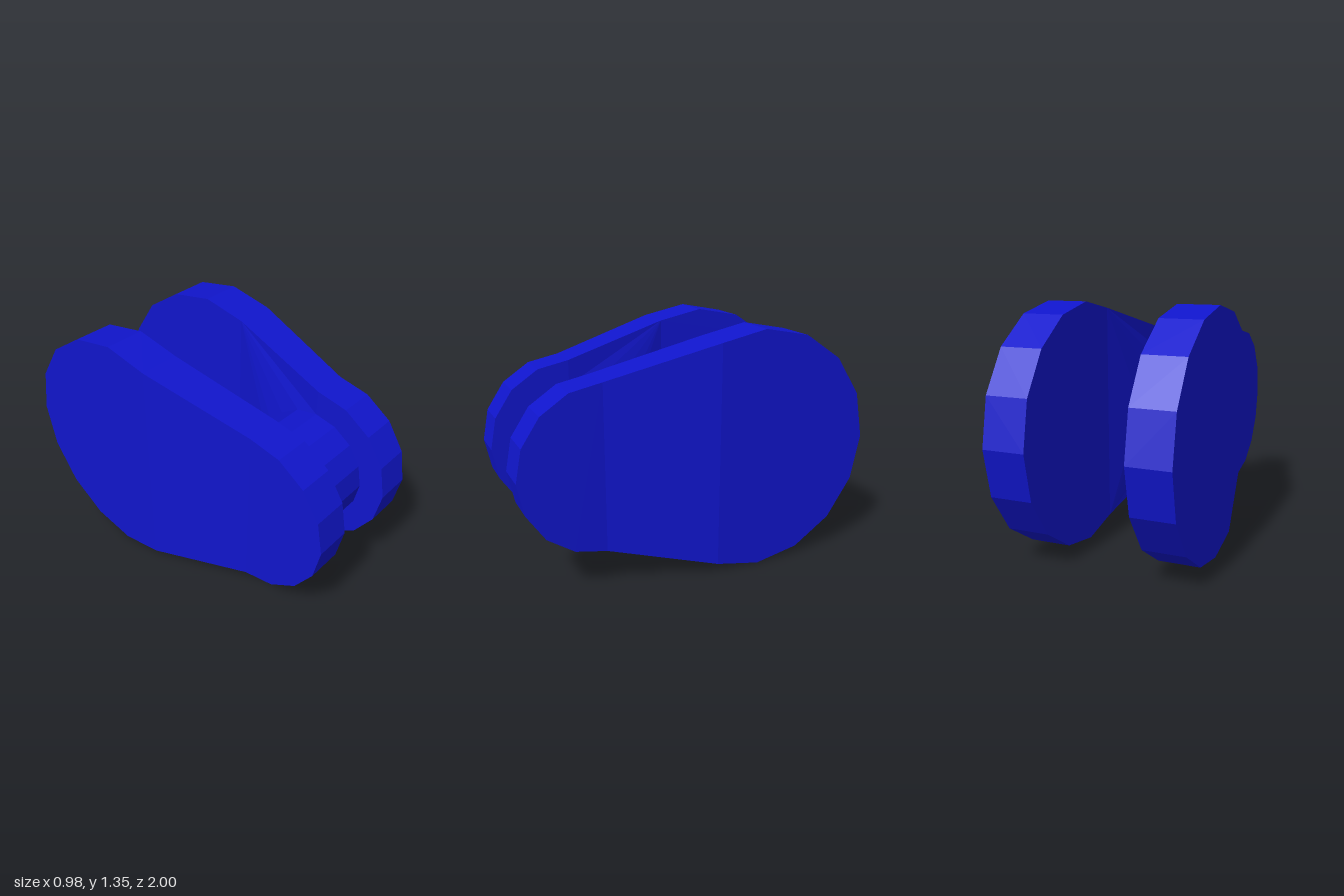
import * as THREE from 'three';

const STEP = Math.PI / 8; // every round part follows a 16-sided circle
const MID_Y = 0.675;
const material = new THREE.MeshStandardMaterial({ color: 0x1015cc, flatShading: true });

// points on a circle in the side plane, from one 16th to another, going clockwise
function arc(x, z, radius, from, to) {
  const points = [];
  for (let k = from; k >= to; k--) {
    points.push([x, MID_Y + radius * Math.sin(k * STEP), z + radius * Math.cos(k * STEP)]);
  }
  return points;
}

// cranked plate: small round front end, large round back end set further out
function plateGeometry(side) {
  const positions = [];
  const face = (...p) => {
    for (let i = 1; i < p.length - 1; i++) {
      const tri = [p[0], p[i], p[i + 1]];
      if (side < 0) tri.reverse();
      tri.forEach(([x, y, z]) => positions.push(x * side, y, z));
    }
  };
  const front = (x) => arc(x, 0.54, 0.46, 4, -4);
  const back = (x) => arc(x, -0.325, 0.675, -3, -13);
  const outF = front(0.375), outB = back(0.49);
  const inF = front(0.175), inB = back(0.26);

  // outer side: front end, slanted middle, back end
  face(...outF);
  face(outF[8], outB[0], outB[10], outF[0]);
  face(...outB);

  // rim
  const outer = [...outF, ...outB], inner = [...inF, ...inB];
  outer.forEach((a, i) => {
    const j = (i + 1) % outer.length;
    face(outer[j], a, inner[i], inner[j]);
  });

  // inner side: back end, then front end around the axle
  face(...[...inB].reverse());
  const ringF = arc(0.175, 0.54, 0.318, 4, -4);
  for (let i = 0; i < 8; i++) face(inF[i + 1], inF[i], ringF[i], ringF[i + 1]);

  // inner slope from the bend to the back half of the axle
  const ringB = arc(0.175, 0.54, 0.318, -4, -12);
  const low = inB[0], high = inB[10];
  face(ringB[0], low, inF[8]);
  for (let i = 0; i < 8; i++) face(ringB[i], ringB[i + 1], i < 4 ? low : high);
  face(ringB[4], high, low);
  face(ringB[8], inF[0], high);

  const geometry = new THREE.BufferGeometry();
  geometry.setAttribute('position', new THREE.Float32BufferAttribute(positions, 3));
  geometry.computeVertexNormals();
  return geometry;
}

export function createModel() {
  const group = new THREE.Group();
  group.name = 'trackLink';

  // mirrored side plates
  for (const side of [1, -1]) {
    const plate = new THREE.Mesh(plateGeometry(side), material);
    plate.name = side > 0 ? 'leftPlate' : 'rightPlate';
    group.add(plate);
  }

  // axle joining the front ends
  const axleGeometry = new THREE.CylinderGeometry(0.318, 0.318, 0.35, 16, 1, true);
  axleGeometry.rotateZ(Math.PI / 2);
  const axle = new THREE.Mesh(axleGeometry, material);
  axle.name = 'axle';
  axle.position.set(0, MID_Y, 0.54);
  group.add(axle);

  return group;
}
